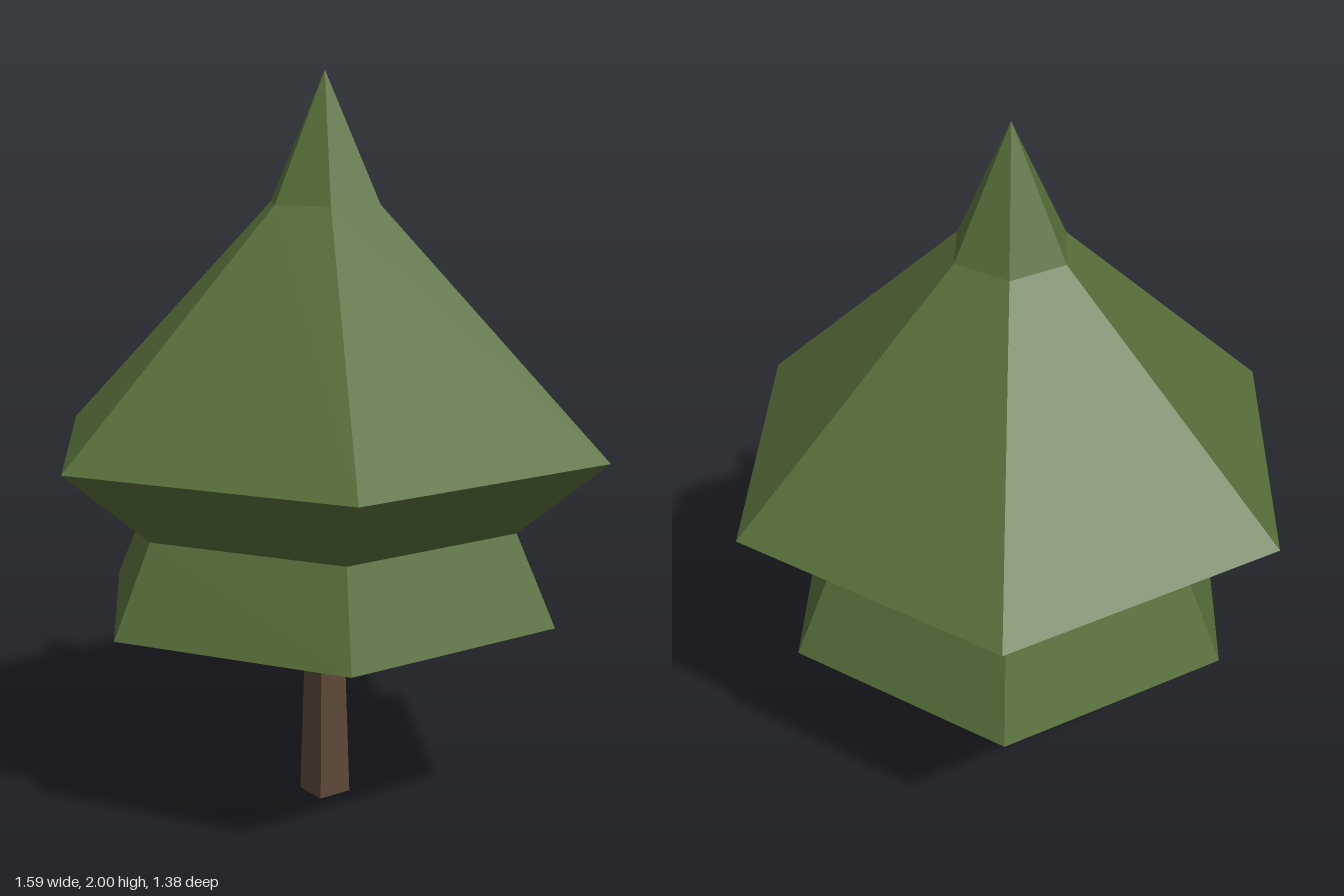
import * as THREE from 'three';

const foliageGreen = new THREE.MeshStandardMaterial({ color: 0x566e39, flatShading: true });
foliageGreen.name = 'foliage green';
const barkBrown = new THREE.MeshStandardMaterial({ color: 0x5c4838, flatShading: true });
barkBrown.name = 'bark brown';

export function createModel() {
  const tree = new THREE.Group();
  tree.name = 'tree';

  // Square trunk, tapering slightly upwards into the foliage
  const trunkHeight = 0.42;
  const trunkGeometry = new THREE.CylinderGeometry(0.04 * Math.SQRT2, 0.05 * Math.SQRT2, trunkHeight, 4);
  trunkGeometry.rotateY(Math.PI / 4);
  trunkGeometry.translate(0, trunkHeight / 2, 0);
  const trunk = new THREE.Mesh(trunkGeometry, barkBrown);
  trunk.name = 'trunk';
  tree.add(trunk);

  // Six-sided foliage: collar, lower tier, waist, upper tier and pointed tip
  const profile = [
    [0, 0.405], [0.07, 0.405], [0.112, 0.44], [0.663, 0.565],
    [0.552, 0.81], [0.797, 1.018], [0.16, 1.655], [0, 2],
  ].map(([r, y]) => new THREE.Vector2(r, y));
  const foliage = new THREE.Mesh(new THREE.LatheGeometry(profile, 6, Math.PI / 6), foliageGreen);
  foliage.name = 'foliage';
  tree.add(foliage);

  return tree;
}
